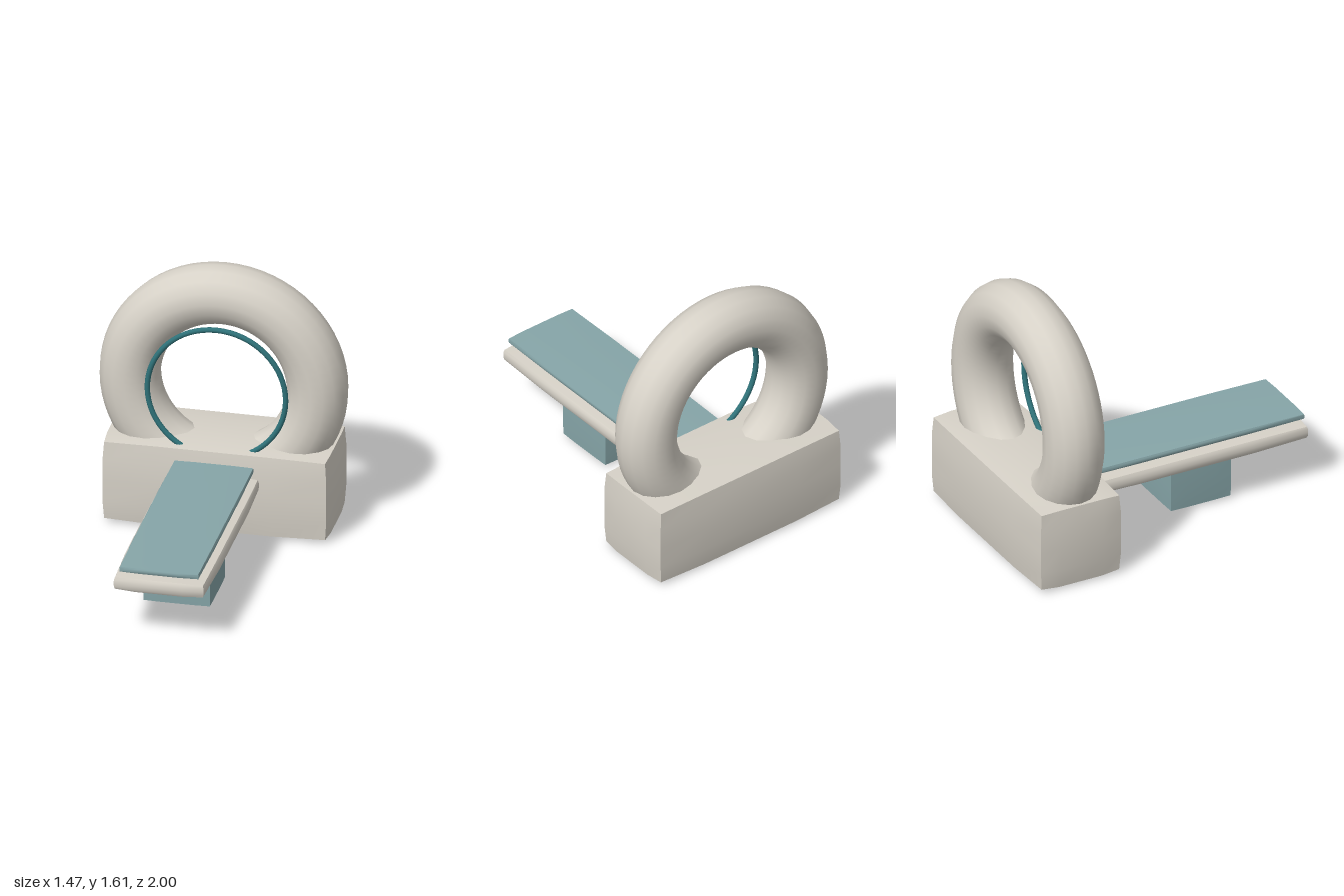
import * as THREE from 'three';
import { toCreasedNormals } from 'three/addons/utils/BufferGeometryUtils.js';

const named = (color, name) => {
  const m = new THREE.MeshStandardMaterial({ color });
  m.name = name;
  return m;
};

// Box on a coarse grid whose edges are pulled in, so the faces bulge softly
function softBox(w, h, d, r) {
  const geo = new THREE.BoxGeometry(w, h, d, 4, 4, 4);
  const pos = geo.attributes.position;
  const inner = new THREE.Vector3(w / 2 - r, h / 2 - r, d / 2 - r);
  const low = inner.clone().negate();
  const p = new THREE.Vector3(), core = new THREE.Vector3();
  for (let i = 0; i < pos.count; i++) {
    p.fromBufferAttribute(pos, i);
    core.copy(p).clamp(low, inner);
    p.sub(core).setLength(r).add(core);
    pos.setXYZ(i, p.x, p.y, p.z);
  }
  return toCreasedNormals(geo, 0.6);
}

export function createModel() {
  const model = new THREE.Group();
  model.name = 'scanner';
  const shell = named(0xd6d1c7, 'warm white shell');
  const padBlue = named(0x86a5a8, 'pale teal');
  const trim = named(0x2f7279, 'dark teal trim');

  const add = (name, geo, mat, x, y, z) => {
    const mesh = new THREE.Mesh(geo, mat);
    mesh.name = name;
    mesh.position.set(x, y, z);
    model.add(mesh);
  };

  // Gantry: ring standing in a heavy base, with a thin trim ring in front
  add('gantryBase', softBox(1.36, 0.54, 0.56, 0.06), shell, 0, 0.273, -0.72);
  add('gantryRing', new THREE.TorusGeometry(0.555, 0.18, 16, 64), shell, 0, 0.875, -0.71);
  add('trimRing', new THREE.TorusGeometry(0.41, 0.016, 10, 64), trim, 0, 0.875, -0.514);

  // Patient table: pedestal, bed and floating pad
  add('pedestal', softBox(0.4, 0.3, 0.4, 0.01), padBlue, 0, 0.168, 0.32);
  add('bed', softBox(0.56, 0.11, 1.5, 0.045), shell, 0, 0.347, 0.25);
  add('pad', softBox(0.48, 0.045, 1.46, 0.018), padBlue, 0, 0.438, 0.255);

  return model;
}
